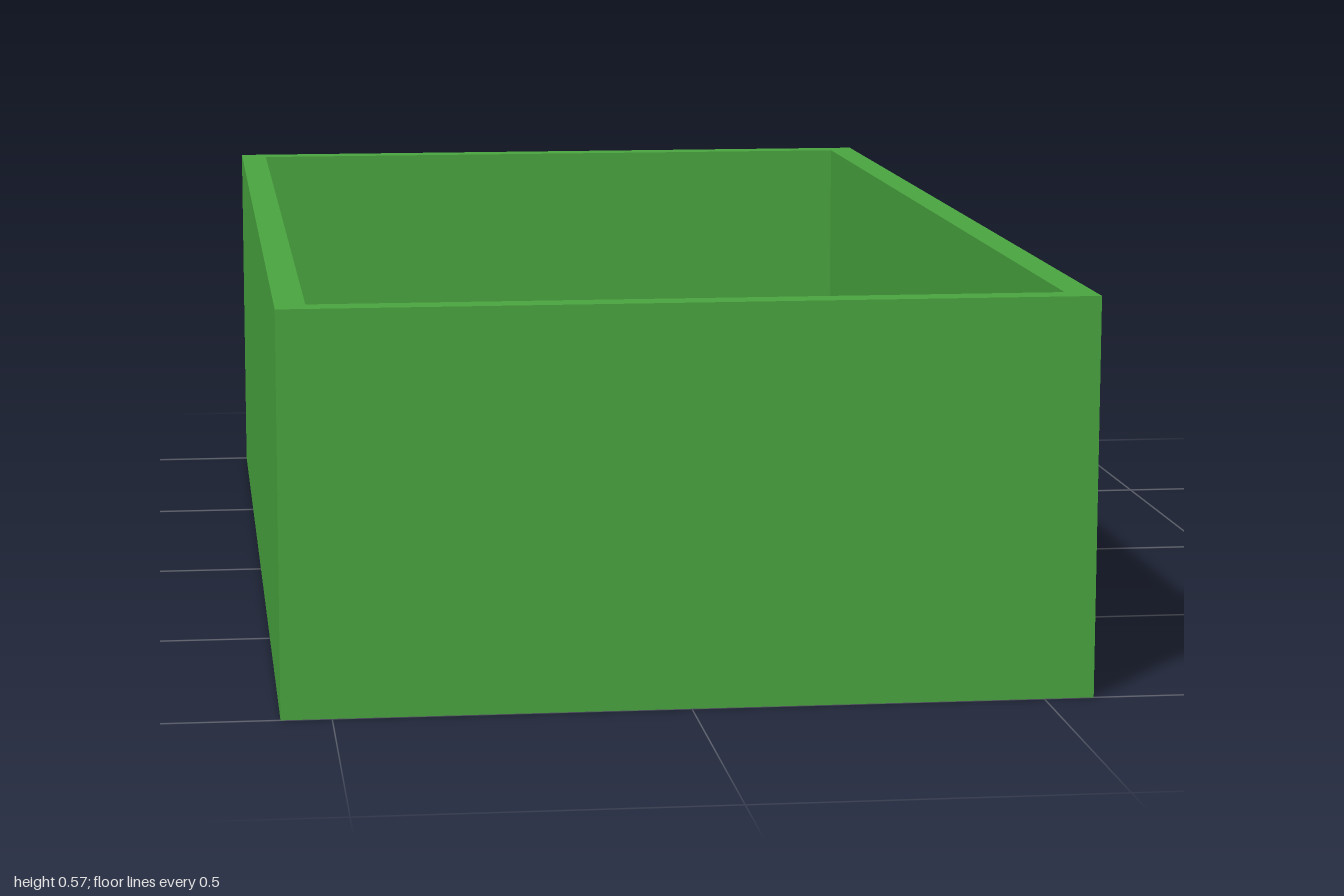
import * as THREE from 'three';

const green = new THREE.MeshStandardMaterial({ color: 0x4aa640 }); green.name = 'green';
const grey = new THREE.MeshStandardMaterial({ color: 0x68696e }); grey.name = 'grey';
const plateGrey = new THREE.MeshStandardMaterial({ color: 0x6c7274 }); plateGrey.name = 'plate grey';
const dark = new THREE.MeshStandardMaterial({ color: 0x46474b }); dark.name = 'dark grey';

const W = 1.142, H = 0.571, L = 2, WALL = 0.043, FLOOR = 0.045;

function add(parent, name, geometry, material, x = 0, y = 0, z = 0) {
  const mesh = new THREE.Mesh(geometry, material);
  mesh.name = name;
  mesh.position.set(x, y, z);
  parent.add(mesh);
  return mesh;
}

function box(parent, name, material, w, h, d, x, y, z) {
  return add(parent, name, new THREE.BoxGeometry(w, h, d), material, x, y, z);
}

// Closed outline from corner points, mirrored into all four quadrants
function outline(quarter) {
  const back = [...quarter].reverse();
  const points = [
    ...quarter.map(([x, z]) => [x, z]), ...back.map(([x, z]) => [-x, z]),
    ...quarter.map(([x, z]) => [-x, -z]), ...back.map(([x, z]) => [x, -z]),
  ];
  return new THREE.Shape(points.map(([x, z]) => new THREE.Vector2(x, z)));
}

function slab(shape, height, bevel = 0) {
  const geometry = new THREE.ExtrudeGeometry(shape, {
    depth: height - 2 * bevel, bevelEnabled: bevel > 0, bevelSize: bevel,
    bevelThickness: bevel, bevelOffset: -bevel, bevelSegments: 1, curveSegments: 12,
  });
  return geometry.translate(0, 0, bevel).rotateX(-Math.PI / 2);
}

// Open tray: rectangular rim around a floor
function makeTray() {
  const tray = new THREE.Group();
  tray.name = 'tray';
  const rim = outline([[W / 2, L / 2]]);
  rim.holes.push(outline([[W / 2 - WALL, L / 2 - WALL]]));
  add(tray, 'walls', slab(rim, H), green);
  box(tray, 'trayFloor', green, W - 2 * WALL, FLOOR, L - 2 * WALL, 0, FLOOR / 2, 0);
  return tray;
}

// Small mechanical unit: round base, block body, corner posts and bridge
function makeUnit() {
  const unit = new THREE.Group();
  unit.name = 'unit';
  add(unit, 'roundBase', new THREE.CylinderGeometry(0.104, 0.108, 0.07, 32), grey, 0, 0.035, 0);
  add(unit, 'body', slab(outline([[0.116, 0.056], [0.102, 0.07]]), 0.1, 0.008), grey);

  // Bridge across the top, narrowed at its middle
  add(unit, 'bridge', slab(outline([[0.098, 0.036], [0.056, 0.036], [0.05, 0.028]]), 0.04, 0.005),
    plateGrey, 0, 0.1, 0);

  for (const side of [-1, 1]) {
    box(unit, 'endPad', dark, 0.004, 0.04, 0.06, side * 0.117, 0.055, 0);
    box(unit, 'rimSlot', dark, 0.03, 0.03, 0.03, 0, 0.06, side * 0.09);
    for (const end of [-1, 1]) {
      // Diagonal ribs over the round base
      const rib = box(unit, 'rib', grey, 0.012, 0.04, 0.05, end * 0.032, 0.08, side * 0.073);
      rib.rotation.y = end * side * 0.4;
      // Corner posts with recessed screws
      const x = end * 0.07, z = side * 0.067;
      const profile = [[0.026, 0], [0.026, 0.115], [0.022, 0.122], [0.016, 0.122], [0.016, 0.11]];
      add(unit, 'cornerPost',
        new THREE.LatheGeometry(profile.map(([r, y]) => new THREE.Vector2(r, y)), 16), grey, x, 0, z);
      add(unit, 'postRecess', new THREE.CircleGeometry(0.016, 16).rotateX(-Math.PI / 2), green, x, 0.11, z);
      add(unit, 'screw', new THREE.CylinderGeometry(0.009, 0.009, 0.012, 12), grey, x, 0.115, z);
    }
  }
  add(unit, 'centrePin', new THREE.CylinderGeometry(0.004, 0.004, 0.003, 8), dark, 0, 0.141, 0);
  return unit;
}

export function createModel() {
  const model = new THREE.Group();
  model.name = 'trayWithUnits';
  model.add(makeTray());

  // Two slightly uneven rows of units
  const places = [
    [-0.18, -0.535], [-0.186, -0.27], [-0.191, 0], [-0.188, 0.268], [-0.202, 0.55],
    [0.111, -0.535], [0.135, -0.276], [0.18, 0], [0.18, 0.262], [0.18, 0.55],
  ];
  const unit = makeUnit();
  for (const [x, z] of places) {
    const copy = unit.clone();
    copy.position.set(x, FLOOR, z);
    model.add(copy);
  }
  return model;
}
